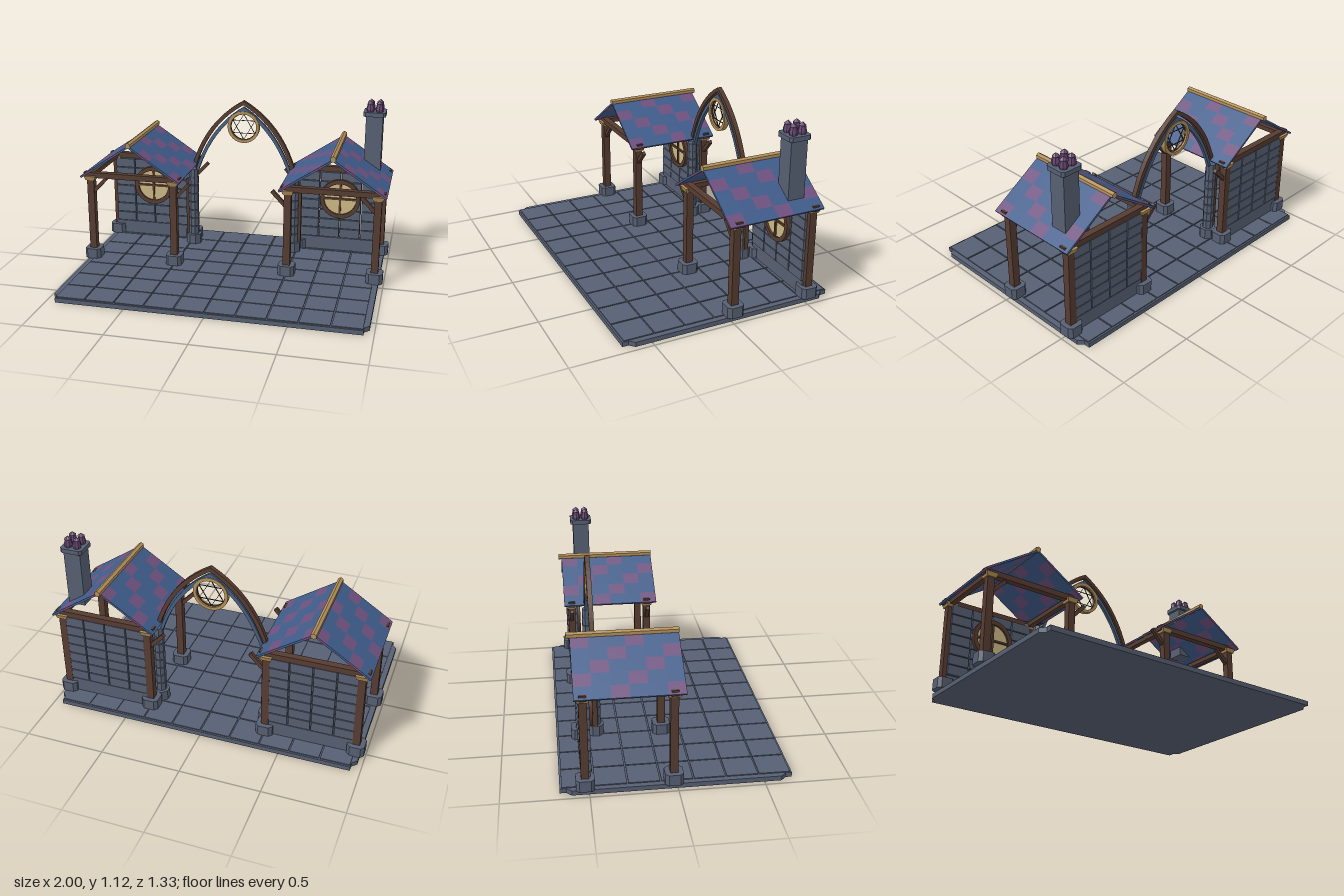
import * as THREE from 'three';

const mat = (name, color) => Object.assign(new THREE.MeshStandardMaterial({ color, flatShading: true }), { name });
const stone = mat('stone', 0x566073), wood = mat('wood', 0x563c31), gold = mat('gold', 0xb3905a),
  blue = mat('roofBlue', 0x3f5c8a), plum = mat('roofPlum', 0x6d517f), pot = mat('potViolet', 0x65456f),
  pane = mat('windowPane', 0xcdb882), slate = mat('archSlate', 0x485f7f), lead = mat('lead', 0x33302f);

function add(parent, name, geo, material, x = 0, y = 0, z = 0) {
  const m = new THREE.Mesh(geo, material);
  m.name = name;
  m.position.set(x, y, z);
  parent.add(m);
  return m;
}
const box = (parent, name, material, w, h, d, x, y, z) =>
  add(parent, name, new THREE.BoxGeometry(w, h, d), material, x, y, z);

// Flat outline extruded along z and centred in depth
function slab(shape, depth, curveSegments = 16) {
  const g = new THREE.ExtrudeGeometry(shape, { depth, bevelEnabled: false, curveSegments });
  return g.translate(0, 0, -depth / 2);
}
const polygon = pts => new THREE.Shape(pts.map(p => new THREE.Vector2(...p)));

function ring(outer, inner, depth) {
  const s = new THREE.Shape().absarc(0, 0, outer, 0, Math.PI * 2);
  s.holes.push(new THREE.Path().absarc(0, 0, inner, 0, Math.PI * 2, true));
  return slab(s, depth, 28);
}

// Square block with chamfered vertical corners
function chamferBlock(w, h, c) {
  const a = w / 2, b = a - c;
  const s = polygon([[a, -b], [a, b], [b, a], [-b, a], [-a, b], [-a, -b], [-b, -a], [b, -a]]);
  return slab(s, h).rotateX(-Math.PI / 2);
}

function createFloor(root) {
  const floor = new THREE.Group();
  floor.name = 'floor';
  root.add(floor);
  const q = [[0.97, 0.6], [0.94, 0.63], [0.94, 0.667]];
  const r = [...q].reverse();
  const outline = [...q, ...r.map(([x, y]) => [-x, y]), ...q.map(([x, y]) => [-x, -y]), ...r.map(([x, y]) => [x, -y])];
  add(floor, 'floorSlab', slab(polygon(outline), 0.029).rotateX(-Math.PI / 2), stone, 0, 0.0145, 0);
  const nx = 10, nz = 7, w = 1.88 / nx, d = 1.32 / nz;
  for (let i = 0; i < nx; i++) for (let j = 0; j < nz; j++)
    box(floor, 'floorTile', stone, w - 0.008, 0.008, d - 0.008, -0.94 + (i + 0.5) * w, 0.031, -0.66 + (j + 0.5) * d);
}

// Stalls are symmetric; s is +1 for the left one, -1 for the right one
function createStall(root, s) {
  const g = new THREE.Group();
  g.name = s > 0 ? 'leftStall' : 'rightStall';
  g.position.x = s * 0.66;
  root.add(g);

  // Posts, feet, capitals and braces
  for (const z of [-0.022, -0.523]) {
    for (const x of [0.283, -0.283]) {
      box(g, 'post', wood, 0.046, 0.52, 0.046, s * x, 0.33, z);
      add(g, 'postFoot', chamferBlock(0.106, 0.068, 0.02), stone, s * x, 0.066, z);
      add(g, 'capital', new THREE.CylinderGeometry(0.055, 0.043, 0.028, 4, 1).rotateY(Math.PI / 4), gold, s * x, 0.594, z);
      const brace = box(g, 'brace', wood, 0.024, 0.125, 0.024, s * (x - 0.06), 0.545, z);
      brace.rotation.z = s * 0.76;
    }
    box(g, 'crossBeam', wood, 0.655, 0.036, 0.042, 0, 0.613, z);
  }
  for (const x of [0.283, -0.283]) box(g, 'sideBeam', wood, 0.036, 0.03, 0.5, x, 0.61, -0.27);

  // Back wall of separate bricks
  const wall = new THREE.Group();
  wall.name = 'brickWall';
  g.add(wall);
  box(wall, 'plinth', stone, 0.566, 0.09, 0.05, 0, 0.08, -0.517);
  const bw = 0.566 / 4, bh = 0.468 / 7;
  for (let i = 0; i < 4; i++) for (let j = 0; j < 7; j++)
    box(wall, 'brick', stone, bw - 0.008, bh - 0.006, 0.06, -0.283 + (i + 0.5) * bw, 0.128 + (j + 0.5) * bh, -0.515);

  // Round window
  const win = new THREE.Group();
  win.name = 'roundWindow';
  win.position.set(0, 0.415, -0.474);
  g.add(win);
  add(win, 'windowFrame', ring(0.136, 0.108, 0.026), wood);
  add(win, 'windowPane', new THREE.CylinderGeometry(0.11, 0.11, 0.008, 32).rotateX(Math.PI / 2), pane, 0, 0, -0.005);
  box(win, 'windowBar', wood, 0.014, 0.22, 0.014, 0, 0, 0.002);
  box(win, 'windowBar', wood, 0.22, 0.014, 0.014, 0, 0, 0.002);

  // Roof slopes of diagonal two-colour tiles
  const run = 0.335, drop = 0.224, len = Math.hypot(run, drop), tl = len / 5, td = 0.612 / 6;
  for (const side of [1, -1]) {
    const slope = new THREE.Group();
    slope.name = 'roofSlope';
    slope.position.set(0, 0.832, 0);
    slope.rotation.z = -side * Math.atan2(drop, run);
    g.add(slope);
    for (let r = 0; r < 5; r++) for (let c = 0; c < 6; c++)
      box(slope, 'roofTile', (c - r + 6) % 3 === 2 ? plum : blue, tl, 0.013, td, side * (r + 0.5) * tl, 0, 0.041 - (c + 0.5) * td);
  }
  add(g, 'ridgeBeam', new THREE.CylinderGeometry(0.019, 0.019, 0.635, 6).rotateX(Math.PI / 2), gold, 0, 0.841, -0.274);
}

function createChimney(root) {
  const g = new THREE.Group();
  g.name = 'chimney';
  g.position.set(0.868, 0, -0.425);
  root.add(g);
  box(g, 'chimneyStack', stone, 0.108, 0.37, 0.108, 0, 0.845, 0);
  add(g, 'chimneyCap', chamferBlock(0.142, 0.028, 0.015), stone, 0, 1.036, 0);
  const profile = [[0, 0], [0.022, 0], [0.027, 0.018], [0.02, 0.05], [0.022, 0.054], [0, 0.073]];
  for (const x of [-0.029, 0.029]) for (const z of [-0.029, 0.029])
    add(g, 'chimneyPot', new THREE.LatheGeometry(profile.map(p => new THREE.Vector2(...p)), 8), pot, x, 1.048, z);
}

// Pointed arch band between two mirrored curves: foot, control and tip
function archBand(outer, inner, depth) {
  const [f, c, t] = outer, [f2, c2, t2] = inner;
  const s = new THREE.Shape();
  s.moveTo(f[0], f[1]);
  s.quadraticCurveTo(...c, ...t);
  s.quadraticCurveTo(-c[0], c[1], -f[0], f[1]);
  s.lineTo(-f2[0], f2[1]);
  s.quadraticCurveTo(-c2[0], c2[1], ...t2);
  s.quadraticCurveTo(...c2, ...f2);
  s.closePath();
  return slab(s, depth, 10);
}

function createArch(root) {
  const g = new THREE.Group();
  g.name = 'archway';
  g.position.z = -0.428;
  root.add(g);
  add(g, 'outerArch', archBand([[0.358, 0.6], [0.262, 0.925], [0, 1.07]], [[0.332, 0.6], [0.238, 0.9], [0, 1.042]], 0.03), wood);
  add(g, 'innerArch', archBand([[0.334, 0.57], [0.236, 0.885], [0, 1.028]], [[0.314, 0.57], [0.217, 0.86], [0, 1]], 0.022), slate);

  // Stacked stone columns carrying the arch
  for (const s of [1, -1]) {
    const col = new THREE.Group();
    col.name = 'archColumn';
    col.position.set(s * 0.352, 0, 0.003);
    g.add(col);
    const drum = (name, r, h, y) =>
      add(col, name, new THREE.CylinderGeometry(r, r, h, 8).rotateY(Math.PI / 8), stone, 0, y, 0);
    drum('columnFoot', 0.053, 0.066, 0.068);
    for (let i = 0; i < 7; i++) drum('columnDrum', 0.035, 0.054, 0.13 + i * 0.06);
    drum('columnTop', 0.033, 0.06, 0.545);
    box(col, 'columnStrip', wood, 0.02, 0.4, 0.028, s * 0.042, 0.3, -0.003);
  }

  // Open rosette with star tracery
  const rose = new THREE.Group();
  rose.name = 'rosette';
  rose.position.y = 0.89;
  g.add(rose);
  add(rose, 'rosetteRing', ring(0.108, 0.088, 0.032), gold);
  add(rose, 'tracery', ring(0.089, 0.085, 0.008), lead);
  const R = 0.087;
  for (let i = 0; i < 6; i++) {
    const a = i * Math.PI / 3;
    const bar = box(rose, 'tracery', lead, R * Math.sqrt(3), 0.003, 0.006, -Math.sin(a) * R / 2, Math.cos(a) * R / 2, 0);
    bar.rotation.z = a;
  }
}

export function createModel() {
  const root = new THREE.Group();
  root.name = 'marketGateway';
  createFloor(root);
  createStall(root, 1);
  createStall(root, -1);
  createChimney(root);
  createArch(root);
  return root;
}
